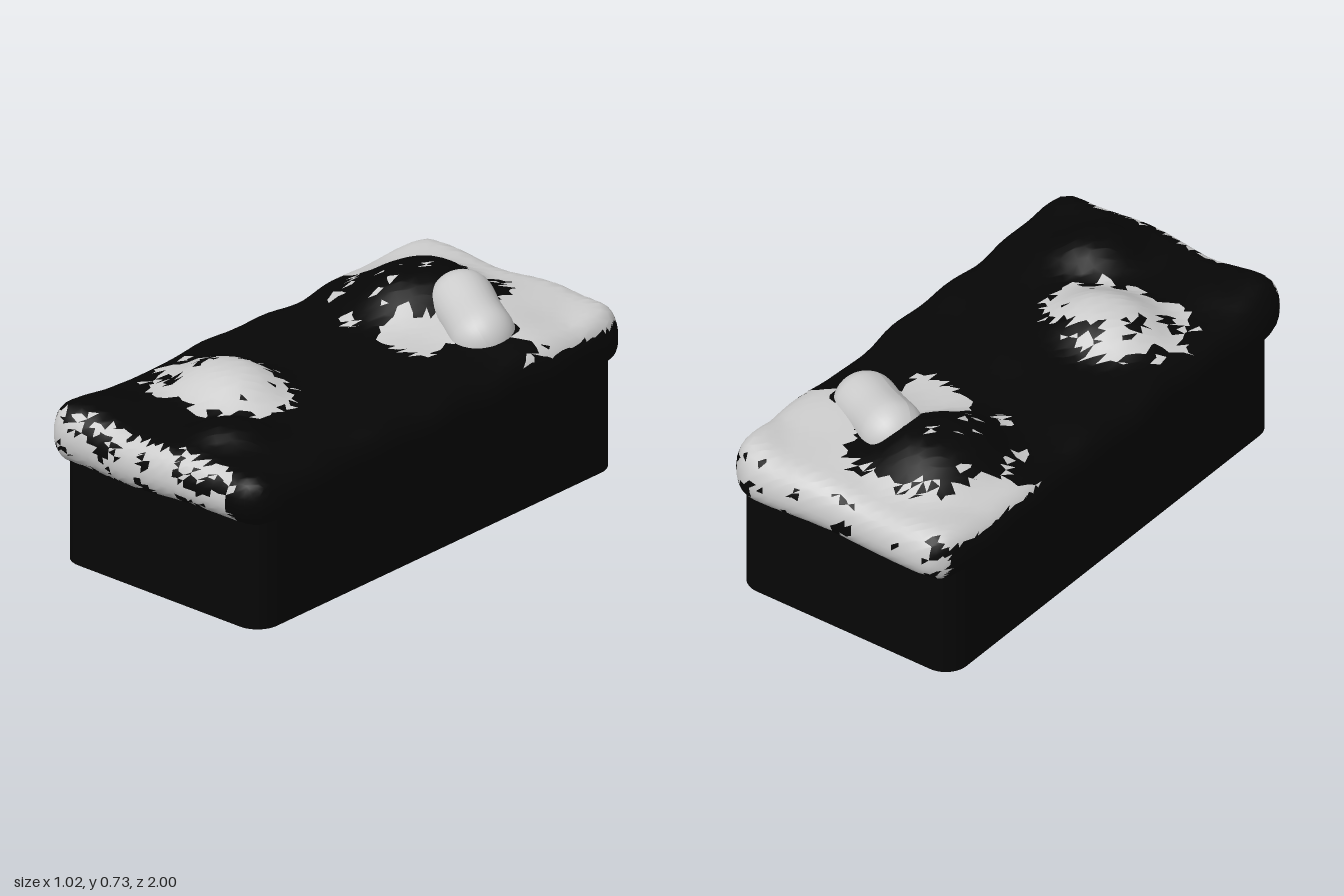
import * as THREE from 'three';
import { mergeVertices } from 'three/addons/utils/BufferGeometryUtils.js';

const dark = new THREE.MeshStandardMaterial({ color: 0x060606 });
const pale = new THREE.MeshStandardMaterial({ color: 0xcccccc });

// Rounded-corner block under the cover
function makeBase() {
  const w = 0.465, d = 0.93, r = 0.09;
  const s = new THREE.Shape();
  s.absarc(w - r, d - r, r, 0, Math.PI / 2);
  s.absarc(-w + r, d - r, r, Math.PI / 2, Math.PI);
  s.absarc(-w + r, -d + r, r, Math.PI, Math.PI * 1.5);
  s.absarc(w - r, -d + r, r, Math.PI * 1.5, Math.PI * 2);
  const g = new THREE.ExtrudeGeometry(s, { depth: 0.46, bevelEnabled: false, curveSegments: 10 });
  g.rotateX(-Math.PI / 2);
  const mesh = new THREE.Mesh(g, dark);
  mesh.name = 'base';
  mesh.position.z = -0.005;
  return mesh;
}

// Soft mounds on the cover: x, z, radius x, radius z, height
const mounds = [
  [-0.13, -0.57, 0.22, 0.22, 0.13],
  [0.15, -0.6, 0.3, 0.25, 0.05],
  [0.15, 0.72, 0.14, 0.13, 0.075],
  [-0.14, 0.41, 0.21, 0.17, 0.08],
  [-0.36, 0.84, 0.16, 0.14, 0.02],
  [0.42, -0.85, 0.14, 0.14, 0.02],
];

function moundHeight(x, z) {
  let h = 0;
  for (const [cx, cz, rx, rz, top] of mounds) {
    const d2 = ((x - cx) / rx) ** 2 + ((z - cz) / rz) ** 2;
    h = Math.max(h, top * Math.exp(-(d2 ** 1.6)));
  }
  return h;
}

// Jagged cell noise for the patch borders
function cellNoise(x, y, z, size) {
  const n = Math.sin(Math.floor(x / size) * 12.99 + Math.floor(y / size) * 39.35 +
    Math.floor(z / size) * 78.23) * 43758.55;
  return (n - Math.floor(n)) * 2 - 1;
}

const ellipse = (x, z, cx, cz, rx, rz) => 1 - Math.hypot((x - cx) / rx, (z - cz) / rz);

// Which faces of the cover belong to the pale patches
function isPale(x, y, z) {
  const n = 0.55 * cellNoise(x + z * 0.6, y + x * 0.3, z - x * 0.7, 0.055) +
    0.45 * Math.sin(x * 23 + y * 31) * Math.sin(z * 19 - x * 9 + y * 17);
  if (y < 0.4) return false;
  // Foot end
  if (z > 0.9) return z + n * 0.045 > 0.93 && x < 0.37 + n * 0.06 && n < 0.33;
  if (z > 0) return y > 0.54 && n < 0.4 && ellipse(x, z, -0.15, 0.44, 0.27, 0.22) + n * 0.3 > 0;
  // Head end, with its dark mound left out
  if (z < -0.94) return n < 0.5 && x > -0.42 + n * 0.1;
  if (y < 0.55) return false;
  if (ellipse(x, z, 0.1, -0.32, 0.13, 0.14) + n * 0.35 > 0) return true;
  if (ellipse(x, z, -0.1, -0.55, 0.28, 0.28) + n * 0.25 > 0) return n > 0.5 && x < -0.1;
  return z < -0.5 + n * 0.12;
}

// Thick lumpy cover, split into dark and pale faces that share smooth normals
function makeCover() {
  const hx = 0.5, hy = 0.086, hz = 0.99, r = 0.084;
  let g = new THREE.BoxGeometry(hx * 2, hy * 2, hz * 2, 34, 8, 64);
  const p = g.attributes.position;
  const v = new THREE.Vector3(), inner = new THREE.Vector3();
  const limit = new THREE.Vector3(hx - r, hy - r, hz - r);
  const low = limit.clone().negate();
  for (let i = 0; i < p.count; i++) {
    v.fromBufferAttribute(p, i);
    // Uneven spacing, so that the faces are irregular
    const seed = v.x * 197 + v.y * 283 + v.z * 161;
    v.x += 0.011 * Math.sin(seed);
    v.z += 0.011 * Math.sin(seed * 1.7 + 2);
    inner.copy(v).clamp(low, limit);
    v.sub(inner).setLength(r).add(inner);
    const { x, y, z } = v;
    // Round the plan corners a little and ripple the edges
    const ripple = 0.007 * Math.sin(z * 9 + 1) + 0.004 * Math.sin(z * 21 + x * 3);
    const corner = Math.max(0, Math.abs(x) - 0.38) * Math.max(0, Math.abs(z) - 0.86);
    v.x += Math.sign(x) * (ripple * Math.abs(x) / hx - corner * 1.4);
    v.z += Math.sign(z) * (0.008 * Math.sin(x * 11 + z) * Math.abs(z) - corner * 1.4);
    const end = THREE.MathUtils.smoothstep(Math.abs(z), 0.7, 0.95);
    v.y += 0.488 + 0.005 * Math.sin(x * 13 + z * 7) + 0.004 * Math.sin(z * 17 - x * 8);
    const up = THREE.MathUtils.clamp(y / hy, -1, 1);
    // Ends swell upward, and sag most at the front on the -x side
    const sag = z > 0 ? 0.012 - x * 0.025 : 0.005;
    v.y += up > 0 ? up * (moundHeight(x, z) + end * 0.018) : up * end * sag;
    p.setXYZ(i, v.x, v.y, v.z);
  }
  g.deleteAttribute('uv');
  g.deleteAttribute('normal');
  g = mergeVertices(g, 1e-4);
  g.computeVertexNormals();

  const faces = { coverDark: [], coverPalePatches: [] };
  const q = g.attributes.position, idx = g.index;
  for (let i = 0; i < idx.count; i += 3) {
    const t = [idx.getX(i), idx.getX(i + 1), idx.getX(i + 2)];
    const mid = (axis) => (q[axis](t[0]) + q[axis](t[1]) + q[axis](t[2])) / 3;
    const key = isPale(mid('getX'), mid('getY'), mid('getZ')) ? 'coverPalePatches' : 'coverDark';
    faces[key].push(...t);
  }
  const cover = new THREE.Group();
  cover.name = 'cover';
  for (const key in faces) {
    const part = g.clone().setIndex(faces[key]);
    const mesh = new THREE.Mesh(part, key === 'coverDark' ? dark : pale);
    mesh.name = key;
    cover.add(mesh);
  }
  return cover;
}

// Smooth pale bolster lying across the head end
function makeBolster() {
  const a = new THREE.Vector3(0.065, 0.617, -0.575), b = new THREE.Vector3(0.25, 0.585, -0.47);
  const dir = b.clone().sub(a);
  const g = new THREE.CapsuleGeometry(0.118, dir.length(), 12, 28, 8);
  const p = g.attributes.position;
  for (let i = 0; i < p.count; i++) {
    // Slight waist between the two rounded ends
    const k = 1 - 0.04 * Math.exp(-((p.getY(i) / 0.07) ** 2));
    p.setXYZ(i, p.getX(i) * k, p.getY(i), p.getZ(i) * k);
  }
  g.computeVertexNormals();
  const mesh = new THREE.Mesh(g, pale);
  mesh.name = 'bolster';
  mesh.position.copy(a).add(b).multiplyScalar(0.5);
  mesh.quaternion.setFromUnitVectors(new THREE.Vector3(0, 1, 0), dir.normalize());
  return mesh;
}

export function createModel() {
  const model = new THREE.Group();
  model.name = 'coveredBed';
  model.add(makeBase(), makeCover(), makeBolster());
  return model;
}
